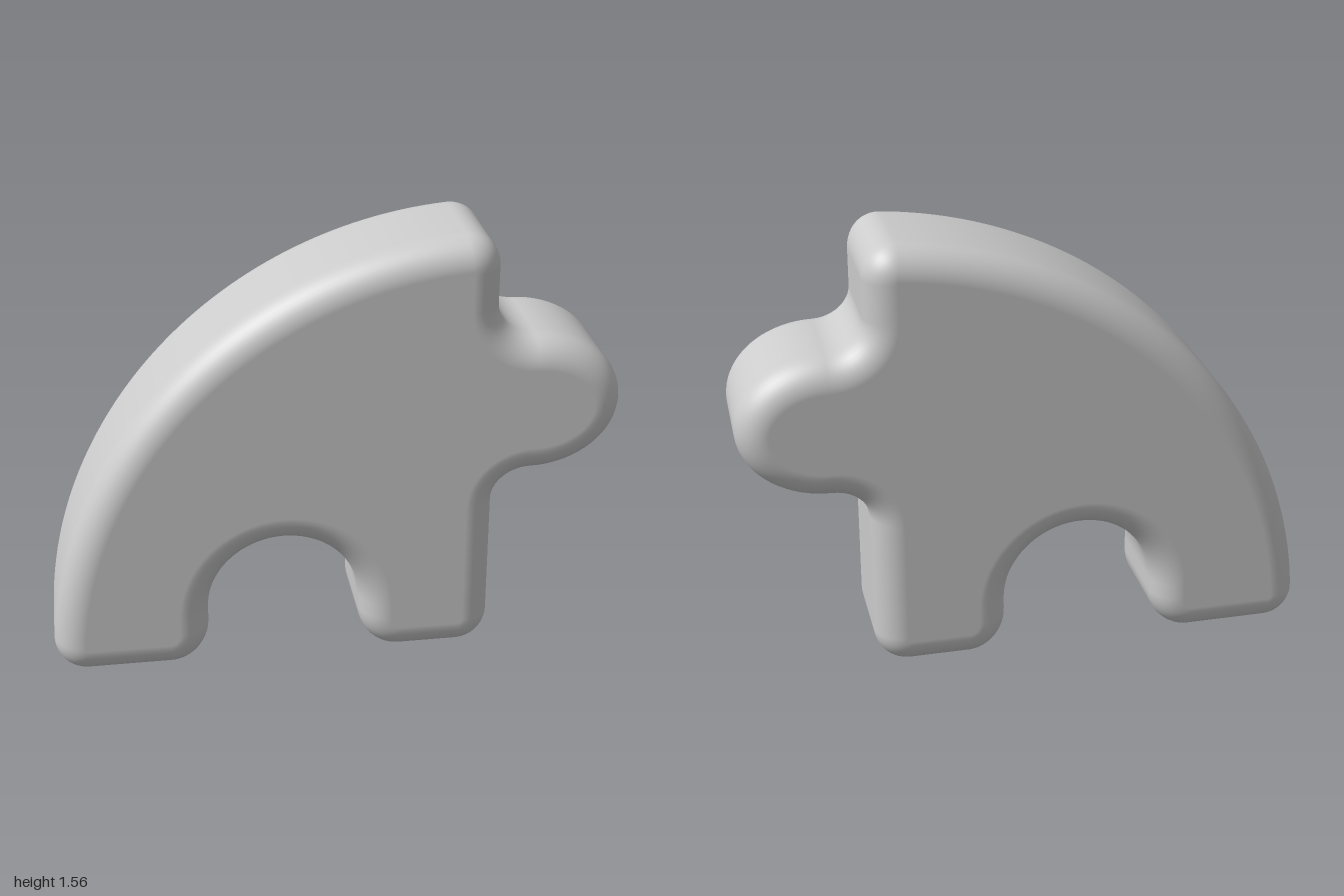
import * as THREE from 'three';

const HALF = 0.25;   // half thickness
const ROUND = 0.107; // radius of the rounded rim
const STEPS = 10;    // rim steps per quarter turn

const v = (x, y) => new THREE.Vector2(x, y);
const line = (a, b) => [new THREE.LineCurve(a, b), 1];

// Quarter-round blend from a to b around the sharp corner c
const corner = (a, c, b) => [
  new THREE.CubicBezierCurve(a, a.clone().lerp(c, 0.552), b.clone().lerp(c, 0.552), b), 12];

const arc = (x, y, rx, ry, from, to, clockwise, n) => [
  new THREE.EllipseCurve(x, y, rx, ry, from, to, clockwise), n];

// Smooth closed outline, counterclockwise: points with outward normals
function outline() {
  const R = 1.562, a0 = THREE.MathUtils.degToRad(94.4), a1 = THREE.MathUtils.degToRad(175.5);
  const backTop = v(0.56 + R * Math.cos(a0), R * Math.sin(a0));
  const backEnd = v(0.56 + R * Math.cos(a1), R * Math.sin(a1));
  const pieces = [
    // left foot
    corner(backEnd, v(-1.003, 0), v(-0.88, 0)),
    line(v(-0.88, 0), v(-0.59, 0)),
    corner(v(-0.59, 0), v(-0.45, 0), v(-0.45, 0.15)),
    // arch
    line(v(-0.45, 0.15), v(-0.45, 0.2)),
    arc(-0.18, 0.2, 0.27, 0.275, Math.PI, 0, true, 40),
    line(v(0.09, 0.2), v(0.09, 0.15)),
    // right foot
    corner(v(0.09, 0.15), v(0.09, 0), v(0.23, 0)),
    line(v(0.23, 0), v(0.44, 0)),
    corner(v(0.44, 0), v(0.56, 0), v(0.56, 0.12)),
    line(v(0.56, 0.12), v(0.56, 0.57)),
    // knob with its neck fillets
    corner(v(0.56, 0.57), v(0.56, 0.685), v(0.69, 0.685)),
    arc(0.69, 0.9375, 0.31, 0.2525, -Math.PI / 2, Math.PI / 2, false, 36),
    corner(v(0.69, 1.19), v(0.56, 1.19), v(0.56, 1.305)),
    // upper edge, tip and long curved back
    line(v(0.56, 1.305), v(0.56, 1.44)),
    corner(v(0.56, 1.44), v(0.56, 1.568), backTop),
    arc(0.56, 0, R, R, a0, a1, false, 60),
  ];
  const points = [], normals = [];
  for (const [curve, n] of pieces) {
    for (let i = 0; i < n; i++) {
      const t = curve.getTangent(i / n);
      points.push(curve.getPoint(i / n));
      normals.push(v(t.y, -t.x));
    }
  }
  return { points, normals };
}

// Flat slab of the outline with fully rounded rims on both faces
function roundedSlab({ points, normals }) {
  const n = points.length, position = [], normal = [], index = [];
  const rings = 2 * (STEPS + 1);
  for (let k = 0; k < rings; k++) {
    const front = k <= STEPS;
    const a = (front ? 1 - k / STEPS : -(k - STEPS - 1) / STEPS) * Math.PI / 2;
    const inset = ROUND * (1 - Math.cos(a));
    const z = (front ? 1 : -1) * (HALF - ROUND) + ROUND * Math.sin(a);
    points.forEach((p, i) => {
      const m = normals[i];
      position.push(p.x - m.x * inset, p.y - m.y * inset, z);
      normal.push(m.x * Math.cos(a), m.y * Math.cos(a), Math.sin(a));
    });
  }
  for (let k = 0; k < rings - 1; k++) {
    for (let i = 0; i < n; i++) {
      const j = (i + 1) % n, A = k * n, B = A + n;
      index.push(A + i, B + i, A + j, A + j, B + i, B + j);
    }
  }
  // front and back faces
  const inner = points.map((p, i) => p.clone().addScaledVector(normals[i], -ROUND));
  const last = (rings - 1) * n;
  for (const [a, b, c] of THREE.ShapeUtils.triangulateShape(inner, [])) {
    index.push(a, b, c, last + a, last + c, last + b);
  }
  const geometry = new THREE.BufferGeometry();
  geometry.setAttribute('position', new THREE.Float32BufferAttribute(position, 3));
  geometry.setAttribute('normal', new THREE.Float32BufferAttribute(normal, 3));
  geometry.setIndex(index);
  return geometry;
}

export function createModel() {
  const group = new THREE.Group();
  group.name = 'puzzlePiece';
  const body = new THREE.Mesh(
    roundedSlab(outline()),
    new THREE.MeshStandardMaterial({ color: 0xcccccc }));
  body.name = 'body';
  group.add(body);
  return group;
}
